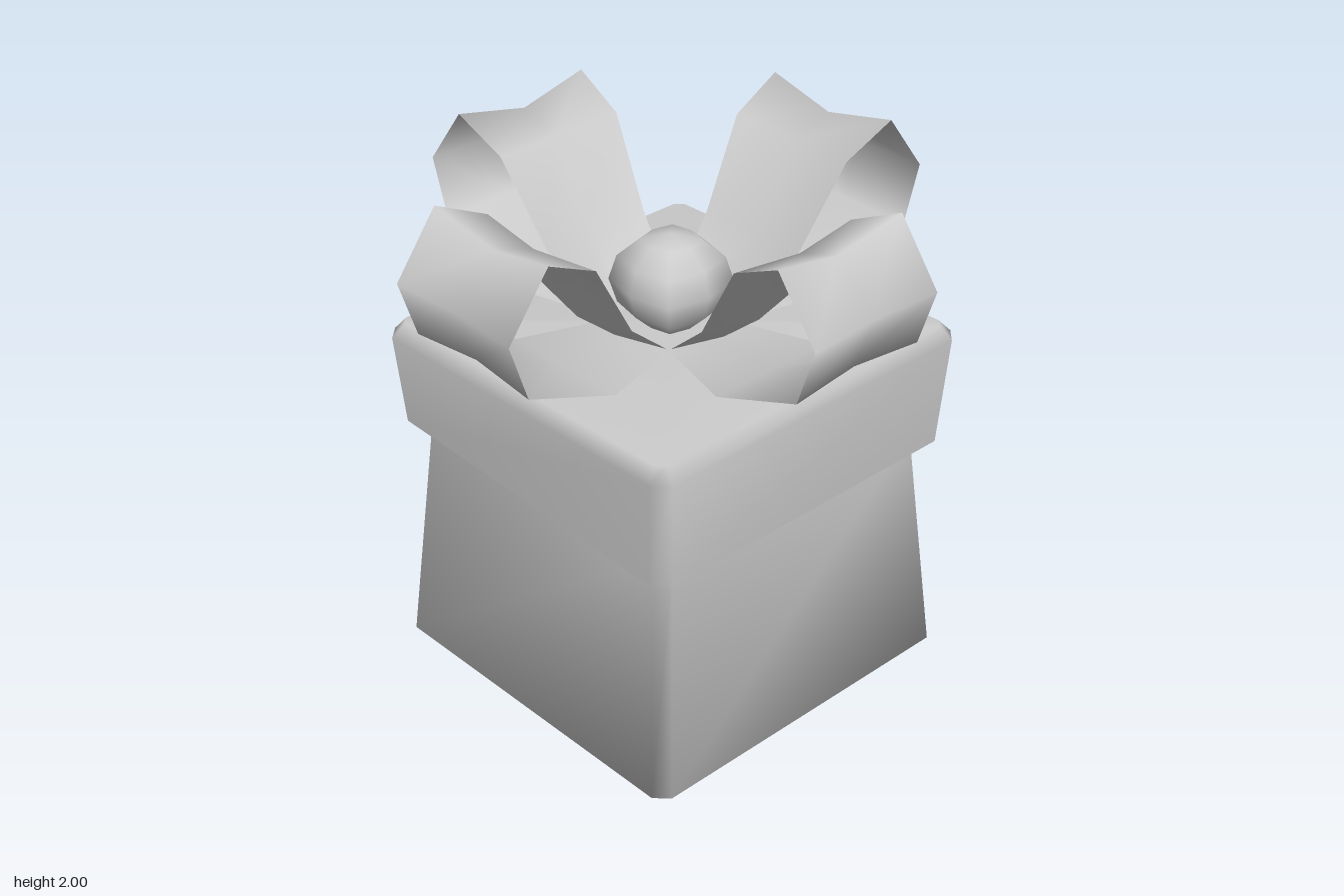
import * as THREE from 'three';

const grey = new THREE.MeshStandardMaterial({ color: 0xcccccc });
const greyDouble = new THREE.MeshStandardMaterial({ color: 0xcccccc, side: THREE.DoubleSide });

// Smooth surface through rows of points; each row has the same count
function skin(name, rows, closed, material) {
  const n = rows[0].length;
  const index = [];
  for (let r = 0; r < rows.length - 1; r++) {
    for (let i = 0; i < (closed ? n : n - 1); i++) {
      const j = (i + 1) % n;
      const a = r * n + i, b = r * n + j, c = b + n, d = a + n;
      index.push(a, b, c, a, c, d);
    }
  }
  const geometry = new THREE.BufferGeometry();
  geometry.setAttribute('position', new THREE.Float32BufferAttribute(rows.flat(2), 3));
  geometry.setIndex(index);
  geometry.computeVertexNormals();
  const mesh = new THREE.Mesh(geometry, material);
  mesh.name = name;
  return mesh;
}

// Square ring with cut corners; tilt raises it towards +x
function ring(half, cut, y, tilt = 0) {
  const k = half - cut;
  const corners = [[half, k], [half, -k], [k, -half], [-k, -half], [-half, -k], [-half, k], [-k, half], [k, half]];
  return corners.map(([x, z]) => [x, y + tilt * x, z]);
}

// Loop profile: edge radius, edge height, middle radius, middle height
const loopProfile = [
  [0.17, 1.39, 0.27, 1.42],
  [0.40, 1.585, 0.44, 1.56],
  [0.59, 1.90, 0.62, 1.885],
  [0.80, 2.00, 0.785, 1.94],
  [0.972, 1.77, 0.955, 1.77],
  [0.90, 1.55, 0.88, 1.565],
  [0.50, 1.385, 0.52, 1.40],
  [0.17, 1.375, 0.17, 1.38],
];

// The ribbon widens away from the knot
function ribbonHalfWidth(r) {
  const t = Math.min(1, Math.max(0, (r - 0.17) / 0.6));
  return 0.16 + 0.13 * Math.sin(t * Math.PI / 2);
}

function bowLoop() {
  const rows = loopProfile.map(([r, y, mr, my]) => {
    const w = ribbonHalfWidth(r);
    return [[r, y, -w], [mr, my, 0], [r, y, w]];
  });
  return skin('bowLoop', rows, false, greyDouble);
}

export function createModel() {
  const gift = new THREE.Group();
  gift.name = 'giftBox';

  // Tapered box, flaring at the top to the underside of the lid
  gift.add(skin('boxBody', [
    ring(0, 0, 0),
    ring(0.726, 0.05, 0),
    ring(0.64, 0.045, 0.95, -0.035),
    ring(0.71, 0.055, 0.93, -0.035),
  ], true, greyDouble));

  // Slightly crooked lid with a bevelled top edge
  gift.add(skin('lid', [
    ring(0.71, 0.055, 0.93, -0.035),
    ring(0.735, 0.055, 1.315, 0.02),
    ring(0.69, 0.03, 1.367, 0.018),
    ring(0, 0, 1.37),
  ], true, greyDouble));

  // Four loops around the knot
  const bow = new THREE.Group();
  bow.name = 'bow';
  for (let i = 0; i < 4; i++) {
    const loop = bowLoop();
    loop.rotation.y = i * Math.PI / 2;
    bow.add(loop);
  }

  // Rounded knot, squared off a little on the diagonals
  const knotGeometry = new THREE.SphereGeometry(0.195, 8, 6);
  const p = knotGeometry.attributes.position;
  for (let i = 0; i < p.count; i++) {
    const x = p.getX(i), z = p.getZ(i);
    const s = 1 + 0.14 * Math.abs(Math.sin(2 * Math.atan2(z, x)));
    p.setXYZ(i, x * s, p.getY(i) * 0.95, z * s);
  }
  const knot = new THREE.Mesh(knotGeometry, grey);
  knot.name = 'knot';
  knot.position.y = 1.54;
  bow.add(knot);

  gift.add(bow);
  return gift;
}
